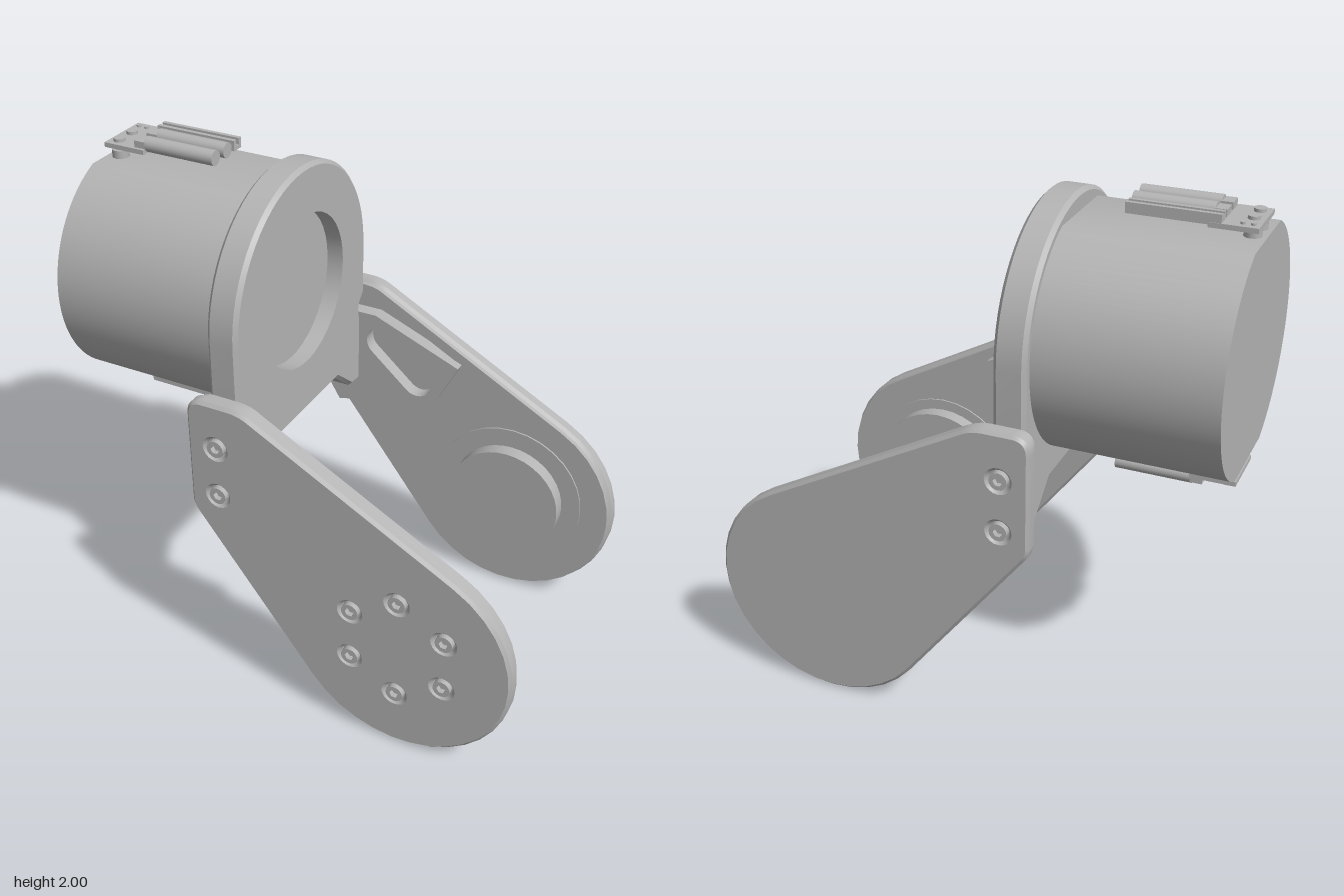
import * as THREE from 'three';
import { toCreasedNormals } from 'three/addons/utils/BufferGeometryUtils.js';

const metal = new THREE.MeshStandardMaterial({ color: 0xb4b4b4 });
metal.name = 'grey metal';

const mesh = (name, geometry) => {
  const m = new THREE.Mesh(geometry, metal);
  m.name = name;
  return m;
};

// Slab between depths a and b, with an optional chamfer that stays inside the outline
function slab(shape, a, b, bevel = 0, curveSegments = 10) {
  const lo = Math.min(a, b), depth = Math.abs(b - a) - 2 * bevel;
  const g = new THREE.ExtrudeGeometry(shape, {
    depth, curveSegments, bevelEnabled: bevel > 0, bevelSegments: 1,
    bevelSize: bevel, bevelThickness: bevel, bevelOffset: -bevel,
  });
  g.translate(0, 0, lo + bevel);
  return toCreasedNormals(g, 0.45);
}

const circle = (x, y, r, C = THREE.Shape) => new C().absarc(x, y, r, 0, Math.PI * 2, false);

const polygon = (pts) => new THREE.Shape(pts.map(([x, y]) => new THREE.Vector2(x, y)));

const hexagon = (x, y, r) => new THREE.Path(Array.from({ length: 6 }, (_, i) =>
  new THREE.Vector2(x + r * Math.cos(i * Math.PI / 3), y + r * Math.sin(i * Math.PI / 3))));

const HUB = [0.505, 0.445], HUB_R = 0.445, AXIS_Y = 1.48;

// Teardrop outline of a side arm, shrunk by d
function armOutline(d, C = THREE.Shape) {
  const s = new C();
  s.moveTo(-0.34 + d, 0.85);
  s.lineTo(-0.34 + d, 1.22);
  s.quadraticCurveTo(-0.34 + d, 1.29 - d, -0.27, 1.29 - d);
  s.lineTo(-0.17, 1.29 - d);
  s.quadraticCurveTo(-0.12, 1.29 - d, -0.08 - 0.47 * d, 1.267 - 0.88 * d);
  s.absarc(HUB[0], HUB[1], HUB_R - d, 62 * Math.PI / 180, -143 * Math.PI / 180, true);
  s.lineTo(-0.315 + 0.8 * d, 0.79 + 0.6 * d);
  s.quadraticCurveTo(-0.34 + d, 0.82 + 0.4 * d, -0.34 + d, 0.85);
  return s;
}

// Side arm; side is +1 for the front and -1 for the back
function createArm(side) {
  const arm = new THREE.Group();
  arm.name = side > 0 ? 'frontArm' : 'backArm';
  const add = (name, shape, a, b, bevel, seg) =>
    arm.add(mesh(name, slab(shape, a * side, b * side, bevel, seg)));

  const screws = [[-0.225, 1.105], [-0.225, 0.9]];
  if (side > 0) for (let i = 0; i < 6; i++) {
    const t = Math.PI / 6 + i * Math.PI / 3;
    screws.push([0.5 + 0.215 * Math.cos(t), 0.455 + 0.215 * Math.sin(t)]);
  }

  // Outer plate with screw holes
  const plate = armOutline(0);
  for (const [x, y] of screws) plate.holes.push(circle(x, y, 0.04, THREE.Path));
  add('armPlate', plate, 0.512, 0.572, 0.012);

  // Raised rim on the inner face
  const rim = armOutline(0.012);
  rim.holes.push(armOutline(0.055, THREE.Path));
  add('armRim', rim, 0.493, 0.515);

  // Hub disc and its step
  add('hubStep', circle(0.505, 0.45, 0.315), 0.505, 0.515, 0, 16);
  add('hubDisc', circle(0.505, 0.45, side > 0 ? 0.27 : 0.235), 0.447, 0.54, 0, 18);

  // Mounting block with an oblong slot
  const block = polygon([[-0.31, 1.17], [-0.31, 0.8], [-0.265, 0.725], [0.18, 0.845],
    [0.27, 1.02], [-0.1, 1.17]]);
  const [p, q, r] = [[-0.07, 1.05], [0.09, 0.91], 0.068];
  const t = Math.atan2(q[1] - p[1], q[0] - p[0]), h = Math.PI / 2;
  block.holes.push(new THREE.Path()
    .absarc(q[0], q[1], r, t - h, t + h, false)
    .absarc(p[0], p[1], r, t + h, t + 3 * h, false));
  add('mountingBlock', block, 0.455, 0.54);

  // Socket-head screws
  for (const [x, y] of screws) {
    const head = circle(x, y, 0.034);
    head.holes.push(hexagon(x, y, 0.018));
    add('screwHead', head, 0.535, 0.575, 0, 8);
    add('screwCore', circle(x, y, 0.025), 0.53, 0.555, 0, 8);
  }
  return arm;
}

// Upright bracket plate, drawn in the side plane and turned to face +x
function createBracket() {
  const bracket = new THREE.Group();
  bracket.name = 'bracket';
  const s = new THREE.Shape();
  s.moveTo(0.49, 1.25);
  s.lineTo(0.49, AXIS_Y);
  s.absarc(0, AXIS_Y, 0.49, 0, Math.PI, false);
  s.lineTo(-0.49, 1.25);
  s.quadraticCurveTo(-0.43, 1.21, -0.455, 1.16);
  for (const [x, y] of [[-0.455, 0.855], [-0.375, 0.86], [-0.25, 0.965],
    [0.25, 0.965], [0.375, 0.86], [0.455, 0.855], [0.455, 1.16]]) s.lineTo(x, y);
  s.quadraticCurveTo(0.43, 1.21, 0.49, 1.25);
  s.holes.push(circle(0, AXIS_Y, 0.32, THREE.Path));
  bracket.add(mesh('bracketPlate', slab(s, -0.29, -0.168, 0.015, 16).rotateY(Math.PI / 2)));

  // Straight-sided ring lining the round recess
  const ring = circle(0, AXIS_Y, 0.338);
  ring.holes.push(circle(0, AXIS_Y, 0.3, THREE.Path));
  bracket.add(mesh('recessRing', slab(ring, -0.28, -0.168, 0, 20).rotateY(Math.PI / 2)));
  return bracket;
}

// Drum with flats on its top and bottom
function createDrum() {
  const r = 0.455, a = Math.asin(0.42 / r);
  const s = new THREE.Shape();
  s.absarc(0, AXIS_Y, r, -a, a, false);
  s.absarc(0, AXIS_Y, r, Math.PI - a, Math.PI + a, false);
  return mesh('drum', slab(s, -0.95, -0.235, 0, 20).rotateY(Math.PI / 2));
}

// Small connector unit, positioned relative to the drum axis
function createConnector(name) {
  const g = new THREE.Group();
  g.name = name;
  const box = (n, x0, x1, y0, y1, z0, z1) => {
    const b = new THREE.BoxGeometry(x1 - x0, y1 - y0, z1 - z0);
    g.add(mesh(n, b.translate((x0 + x1) / 2, (y0 + y1) / 2, (z0 + z1) / 2)));
  };
  const upright = (n, x, z, r, y0, y1) =>
    g.add(mesh(n, new THREE.CylinderGeometry(r, r, y1 - y0, 16).translate(x, (y0 + y1) / 2, z)));
  const rod = (n, x0, x1, y, z, r) =>
    g.add(mesh(n, new THREE.CylinderGeometry(r, r, x1 - x0, 16)
      .rotateZ(Math.PI / 2).translate((x0 + x1) / 2, y, z)));

  box('mountPlate', -0.94, -0.77, 0.462, 0.48, -0.108, 0.108);
  for (const z of [-0.012, 0.068]) {
    upright('standoff', -0.9, z, 0.032, 0.41, 0.45);
    upright('standoffPin', -0.9, z, 0.018, 0.44, 0.47);
    upright('boltHead', -0.9, z, 0.022, 0.475, 0.492);
    box('rodClamp', -0.815, -0.77, 0.465, 0.506, z - 0.028, z + 0.028);
    rod('rod', -0.775, -0.485, 0.491, z, 0.029);
  }
  for (const x of [-0.915, -0.88]) upright('pin', x, -0.078, 0.009, 0.475, 0.488);
  box('railClamp', -0.815, -0.77, 0.465, 0.502, -0.106, -0.055);
  for (const z of [-0.098, -0.065]) box('rail', -0.815, -0.485, 0.472, 0.51, z - 0.008, z + 0.008);
  box('railBase', -0.8, -0.485, 0.47, 0.485, -0.104, -0.058);
  g.position.y = AXIS_Y;
  return g;
}

export function createModel() {
  const model = new THREE.Group();
  model.name = 'jointBracketAssembly';
  const lower = createConnector('lowerConnector');
  lower.rotation.x = Math.PI;
  model.add(createArm(1), createArm(-1), createBracket(), createDrum(),
    createConnector('upperConnector'), lower);
  return model;
}
